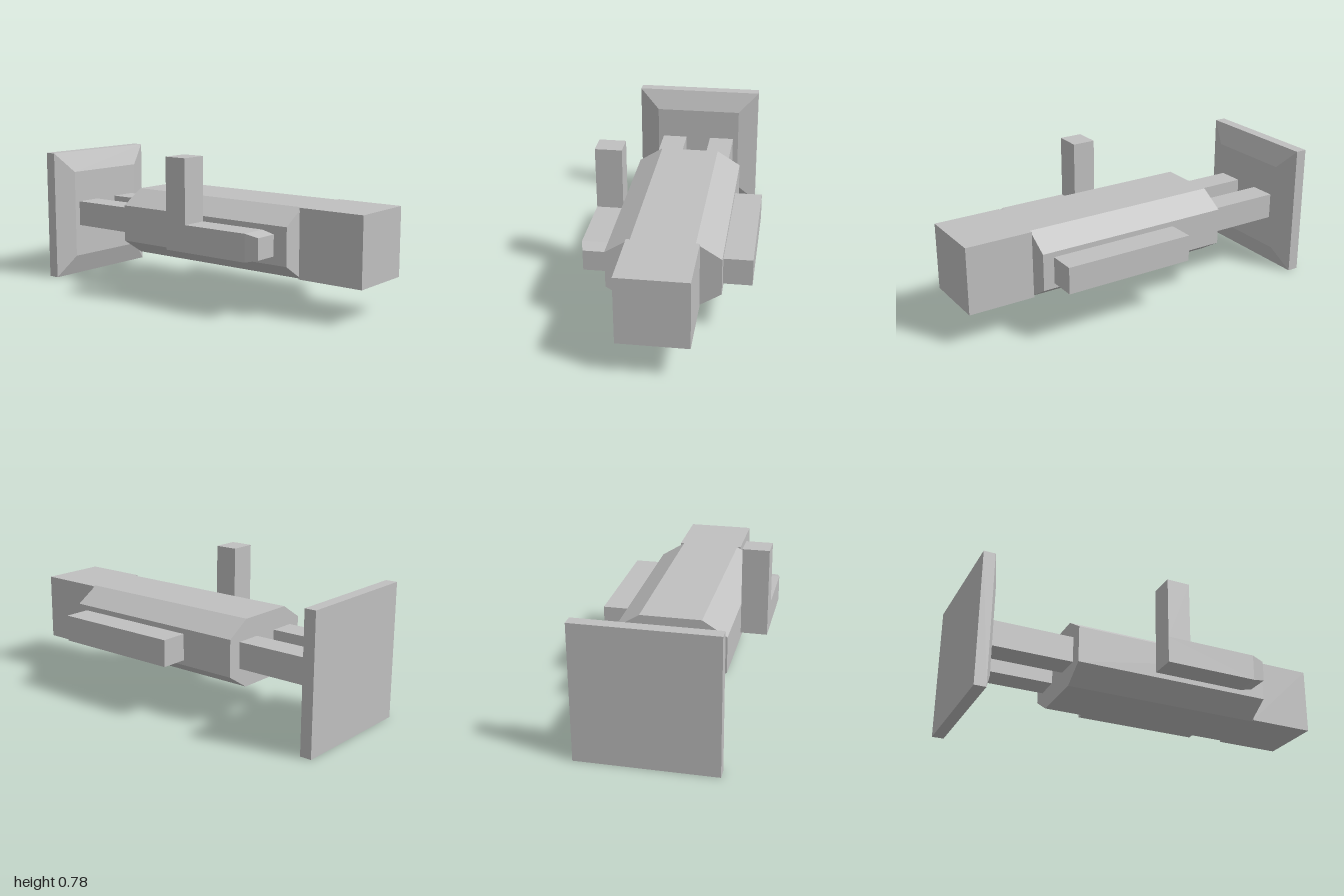
import * as THREE from 'three';

const grey = new THREE.MeshStandardMaterial({ color: 0xc0c0c0 });
grey.name = 'plain grey';

// Box given by its limits on each axis
function box(x0, x1, y0, y1, z0, z1) {
  return new THREE.BoxGeometry(x1 - x0, y1 - y0, z1 - z0)
    .translate((x0 + x1) / 2, (y0 + y1) / 2, (z0 + z1) / 2);
}

// Solid through rectangles [x0, x1, y0, y1, z], listed from back to front
function loft(sections) {
  const rings = sections.map(([x0, x1, y0, y1, z]) =>
    [[x0, y0, z], [x1, y0, z], [x1, y1, z], [x0, y1, z]]);
  const pos = [];
  const quad = (a, b, c, d) => pos.push(...a, ...b, ...c, ...a, ...c, ...d);
  for (let s = 0; s < rings.length - 1; s++) {
    for (let i = 0; i < 4; i++) {
      const j = (i + 1) % 4;
      quad(rings[s][i], rings[s][j], rings[s + 1][j], rings[s + 1][i]);
    }
  }
  const [a, b, c, d] = rings[0];
  quad(d, c, b, a);
  quad(...rings[rings.length - 1]);
  const g = new THREE.BufferGeometry();
  g.setAttribute('position', new THREE.Float32BufferAttribute(pos, 3));
  g.computeVertexNormals();
  return g;
}

export function createModel() {
  const model = new THREE.Group();
  const add = (name, geometry) => {
    const mesh = new THREE.Mesh(geometry, grey);
    mesh.name = name;
    model.add(mesh);
  };

  // Eight-sided main body
  const cx = -0.003;
  const outline = [[0.162, 0.185], [0.292, 0.267], [0.292, 0.465], [0.162, 0.547]];
  const points = [
    ...outline.map(([x, y]) => new THREE.Vector2(cx + x, y)),
    ...outline.slice().reverse().map(([x, y]) => new THREE.Vector2(cx - x, y)),
  ];
  const body = new THREE.ExtrudeGeometry(new THREE.Shape(points), { depth: 1.092, bevelEnabled: false });
  add('body', body.translate(0, 0, -0.453));

  // Square block at the front
  add('frontBlock', box(-0.185, 0.179, 0.185, 0.547, 0.638, 1));

  // Plain rail on the left side
  add('leftRail', box(0.289, 0.437, 0.294, 0.437, -0.145, 0.578));

  // Right rail with a tapered nose, and the post standing on its back end
  add('rightRail', loft([
    [-0.439, -0.295, 0.294, 0.437, -0.016],
    [-0.439, -0.295, 0.294, 0.437, 0.492],
    [-0.423, -0.295, 0.31, 0.421, 0.562],
  ]));
  add('post', box(-0.439, -0.295, 0.437, 0.777, -0.016, 0.112));

  // Two rods joining the body to the back plate
  for (const side of [-1, 1]) {
    const x = cx + side * 0.145;
    add(side < 0 ? 'rightRod' : 'leftRod', box(x - 0.072, x + 0.072, 0.296, 0.437, -0.895, -0.453));
  }

  // Square back plate with a bevelled front
  add('backPlate', loft([
    [-0.366, 0.36, 0, 0.727, -1],
    [-0.366, 0.36, 0, 0.727, -0.938],
    [-0.252, 0.246, 0.116, 0.613, -0.892],
  ]));

  return model;
}
